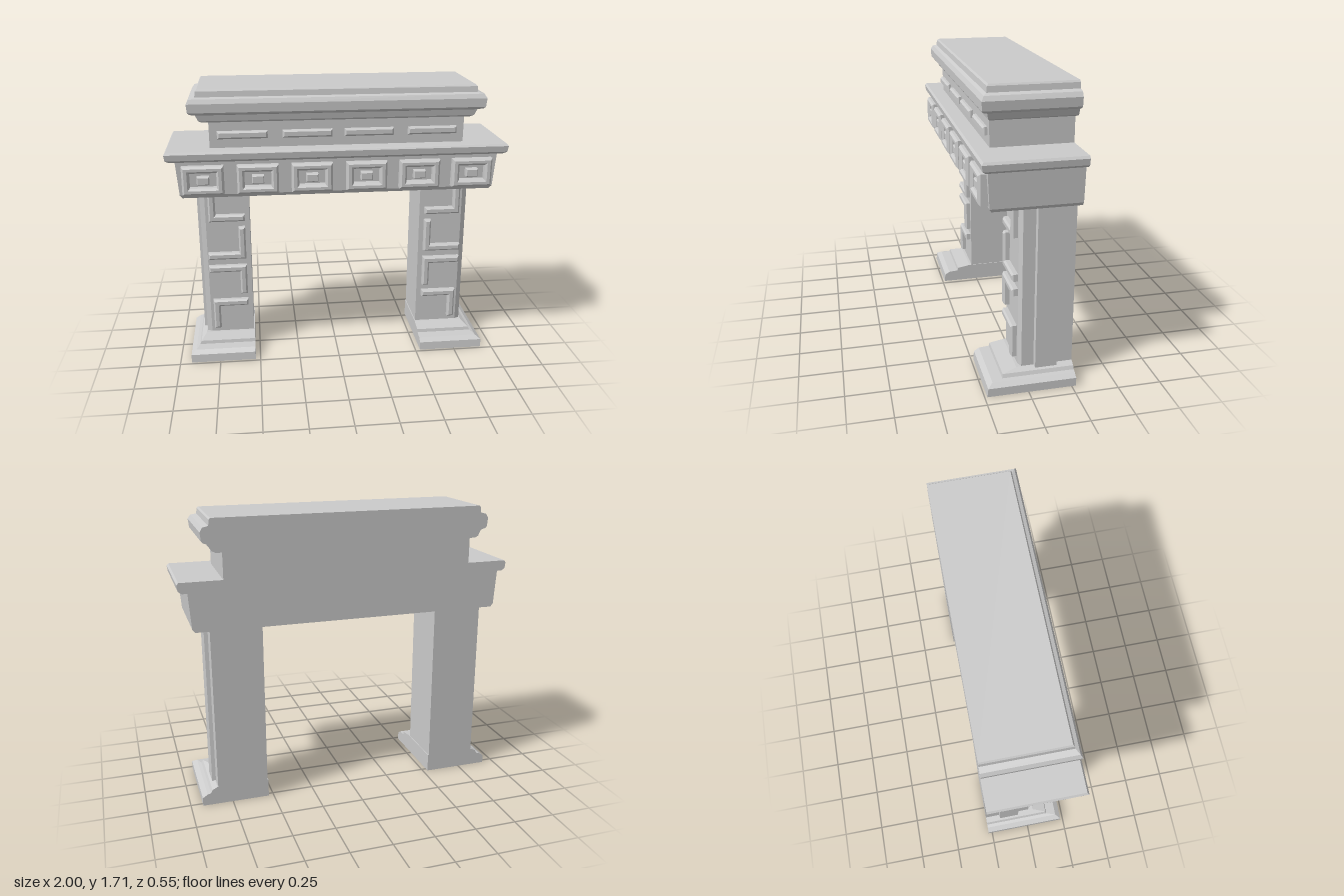
import * as THREE from 'three';

const BACK = -0.275;
const material = new THREE.MeshStandardMaterial({ color: 0xcccccc, flatShading: true });

function add(parent, name, geometry) {
  const mesh = new THREE.Mesh(geometry, material);
  mesh.name = name;
  parent.add(mesh);
  return mesh;
}

// Moulding with a flat back: stacked rectangles, each level [y, xMin, xMax, zFront]
function moulding(levels) {
  const pos = [], index = [];
  levels.forEach(([y, x0, x1, z], k) => {
    pos.push(x0, y, BACK, x0, y, z, x1, y, z, x1, y, BACK);
    if (k === 0) return;
    for (let i = 0; i < 4; i++) {
      const j = (i + 1) % 4, a = 4 * (k - 1), b = 4 * k;
      index.push(a + i, a + j, b + j, a + i, b + j, b + i);
    }
  });
  const t = 4 * (levels.length - 1);
  index.push(0, 2, 1, 0, 3, 2, t, t + 1, t + 2, t, t + 2, t + 3);
  const g = new THREE.BufferGeometry();
  g.setAttribute('position', new THREE.Float32BufferAttribute(pos, 3));
  g.setIndex(index);
  const flat = g.toNonIndexed();
  flat.computeVertexNormals();
  return flat;
}

const symmetric = rows => moulding(rows.map(([y, x, z]) => [y, -x, x, z]));

const polygon = pts => new THREE.Shape(pts.map(([x, y]) => new THREE.Vector2(x, y)));
const rect = (cx, cy, w, h) => [
  [cx - w / 2, cy - h / 2], [cx + w / 2, cy - h / 2],
  [cx + w / 2, cy + h / 2], [cx - w / 2, cy + h / 2]];

// Raised ornament with a chamfered rim, from zBack to zFront
function relief(shape, zBack, zFront, bevel = 0.01) {
  const g = new THREE.ExtrudeGeometry(shape, {
    depth: zFront - zBack - 2 * bevel, bevelEnabled: true, bevelSegments: 1,
    bevelSize: bevel, bevelThickness: bevel, bevelOffset: -bevel });
  return g.translate(0, 0, zBack + bevel);
}

// One leg; s = 1 is the left side, s = -1 the right side
function createLeg(s) {
  const leg = new THREE.Group();
  leg.name = s > 0 ? 'leftLeg' : 'rightLeg';

  // Stepped plinth, flush on the inner side
  add(leg, 'plinth', moulding([
    [0, 0.53, 0.93, 0.235], [0.05, 0.93, 0.93, 0.23], [0.07, 0.53, 0.90, 0.2],
    [0.075, 0.53, 0.88, 0.14], [0.095, 0.53, 0.87, 0.135], [0.11, 0.53, 0.84, 0.05],
  ].map(([y, , x, z]) => s > 0 ? [y, 0.53, x, z] : [y, -x, -0.53, z])));

  // Shaft with a raised strip down its outer side
  const plan = [[0.535, BACK], [0.835, BACK], [0.835, -0.185], [0.857, -0.18],
    [0.857, -0.055], [0.835, -0.05], [0.835, 0.02], [0.805, 0.035], [0.535, 0.035]];
  const shaft = new THREE.ExtrudeGeometry(polygon(plan.map(([x, z]) => [s * x, -z])),
    { depth: 1.02, bevelEnabled: false });
  add(leg, 'shaft', shaft.rotateX(-Math.PI / 2).translate(0, 0.08, 0));

  // Four L-shaped beads: [bottom, top, outer upright?, foot at bottom?]
  const t = 0.042;
  [[0.87, 1.05, true, true], [0.62, 0.83, false, true],
    [0.38, 0.575, false, false], [0.145, 0.34, true, false],
  ].forEach(([y0, y1, outer, low]) => {
    const [xa, xb] = outer ? [0.785, 0.565] : [0.565, 0.80];
    const [ya, yb] = low ? [y0, y1] : [y1, y0];
    const dx = Math.sign(xb - xa) * t, dy = Math.sign(yb - ya) * t;
    const pts = [[xa, ya], [xb, ya], [xb, ya + dy], [xa + dx, ya + dy], [xa + dx, yb], [xa, yb]];
    add(leg, 'cornerBead', relief(polygon(pts.map(([x, y]) => [s * x, y])), 0, 0.07));
  });
  return leg;
}

export function createModel() {
  const model = new THREE.Group();
  model.name = 'fireplaceSurround';
  model.add(createLeg(1), createLeg(-1));

  // Lintel across the legs, and the shelf above it
  add(model, 'lintel', symmetric([[1.08, 0.915, 0.21], [1.1, 0.93, 0.222], [1.315, 0.945, 0.235]]));
  add(model, 'shelf', symmetric([
    [1.305, 0.975, 0.25], [1.32, 0.995, 0.27], [1.355, 1, 0.275], [1.368, 0.99, 0.265]]));

  // Framed square ornaments on the lintel
  for (const x of [-0.79, -0.475, -0.16, 0.16, 0.475, 0.79]) {
    const panel = new THREE.Group();
    panel.name = 'lintelPanel';
    const frame = polygon(rect(x, 1.197, 0.24, 0.17));
    frame.holes.push(new THREE.Path(rect(x, 1.197, 0.155, 0.09).map(p => new THREE.Vector2(...p))));
    add(panel, 'frame', relief(frame, 0.19, 0.275, 0.012));
    add(panel, 'centreBlock', relief(polygon(rect(x, 1.195, 0.07, 0.048)), 0.19, 0.268, 0.005));
    model.add(panel);
  }

  // Frieze with four long bars
  add(model, 'frieze', symmetric([[1.35, 0.745, 0.18], [1.54, 0.745, 0.185]]));
  for (const x of [-0.555, -0.18, 0.18, 0.555]) {
    add(model, 'friezeBar', relief(polygon(rect(x, 1.445, 0.29, 0.045)), 0.15, 0.207));
  }

  // Crown moulding and top slab
  add(model, 'crown', symmetric([
    [1.52, 0.78, 0.19], [1.53, 0.80, 0.2], [1.565, 0.815, 0.208], [1.575, 0.845, 0.235],
    [1.585, 0.855, 0.243], [1.635, 0.86, 0.245], [1.66, 0.845, 0.232], [1.668, 0.812, 0.212],
    [1.7, 0.808, 0.208], [1.71, 0.80, 0.2]]));
  return model;
}
